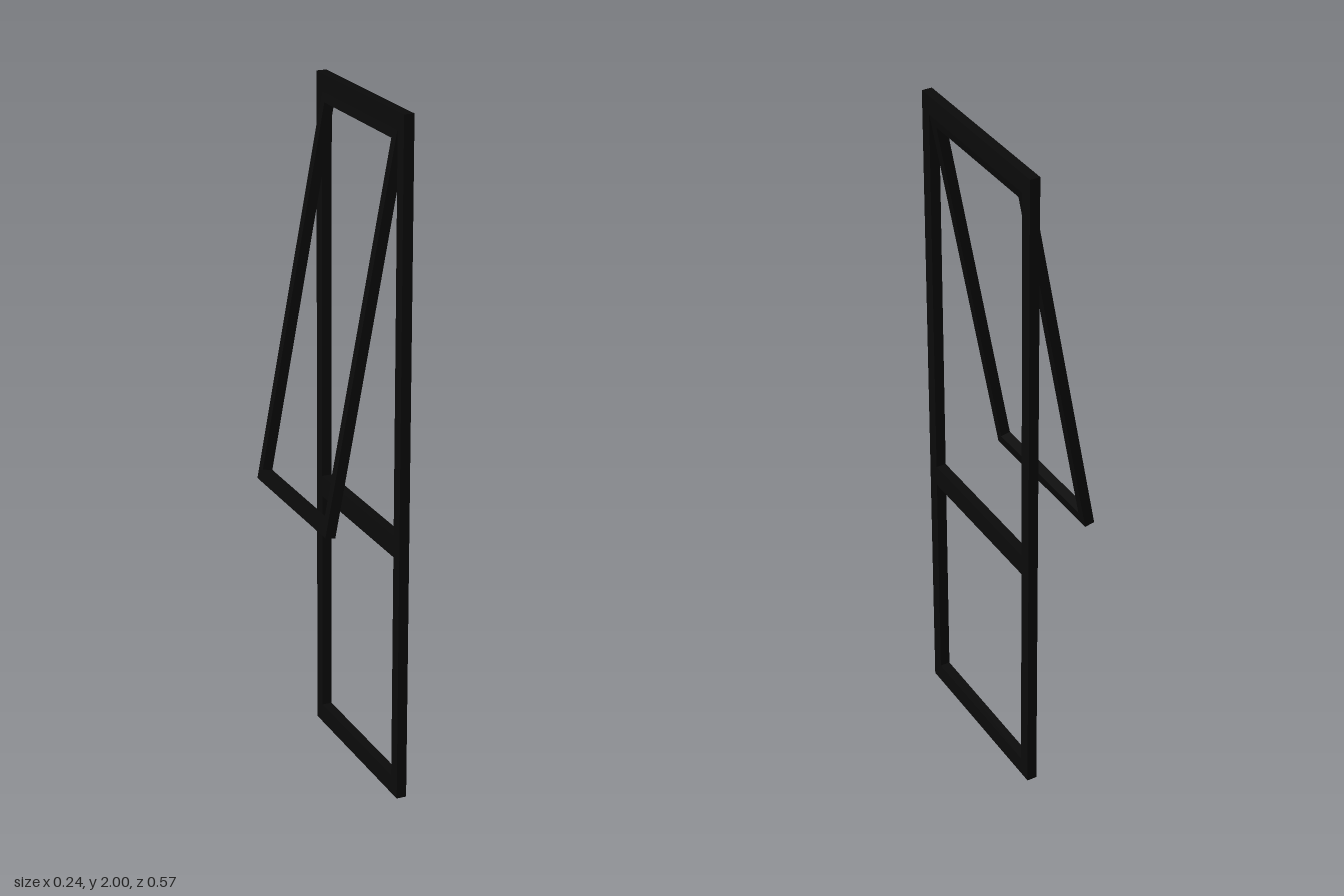
import * as THREE from 'three';

const DEPTH = 0.03;

// Rectangle path: half width w, from y0 to y1
function rect(Type, w, y0, y1) {
  const p = new Type();
  p.moveTo(-w, y0);
  p.lineTo(w, y0);
  p.lineTo(w, y1);
  p.lineTo(-w, y1);
  p.closePath();
  return p;
}

// Flat frame with rectangular openings, facing along x and centred in its depth
function frame(name, material, halfWidth, y0, y1, openings) {
  const shape = rect(THREE.Shape, halfWidth, y0, y1);
  for (const [w, a, b] of openings) shape.holes.push(rect(THREE.Path, w, a, b));
  const geometry = new THREE.ExtrudeGeometry(shape, { depth: DEPTH, bevelEnabled: false });
  geometry.translate(0, 0, -DEPTH / 2);
  geometry.rotateY(Math.PI / 2);
  const mesh = new THREE.Mesh(geometry, material);
  mesh.name = name;
  return mesh;
}

export function createModel() {
  const model = new THREE.Group();
  model.name = 'topHungWindow';
  const black = new THREE.MeshStandardMaterial({ color: 0x0a0a0a });

  // Fixed outer frame with a transom between the two lights
  const outer = frame('outerFrame', black, 0.283, 0, 2, [
    [0.245, 0.056, 0.739],
    [0.245, 0.803, 1.945],
  ]);
  outer.position.x = 0.102;
  model.add(outer);

  // Opening sash, hinged at the head and swung outwards
  const length = 1.14;
  const sash = frame('openingSash', black, 0.244, -length, 0, [
    [0.217, -length + 0.035, -0.028],
  ]);
  sash.position.set(0.102, 1.949, 0);
  sash.rotation.z = -THREE.MathUtils.degToRad(10.4);
  model.add(sash);

  return model;
}
